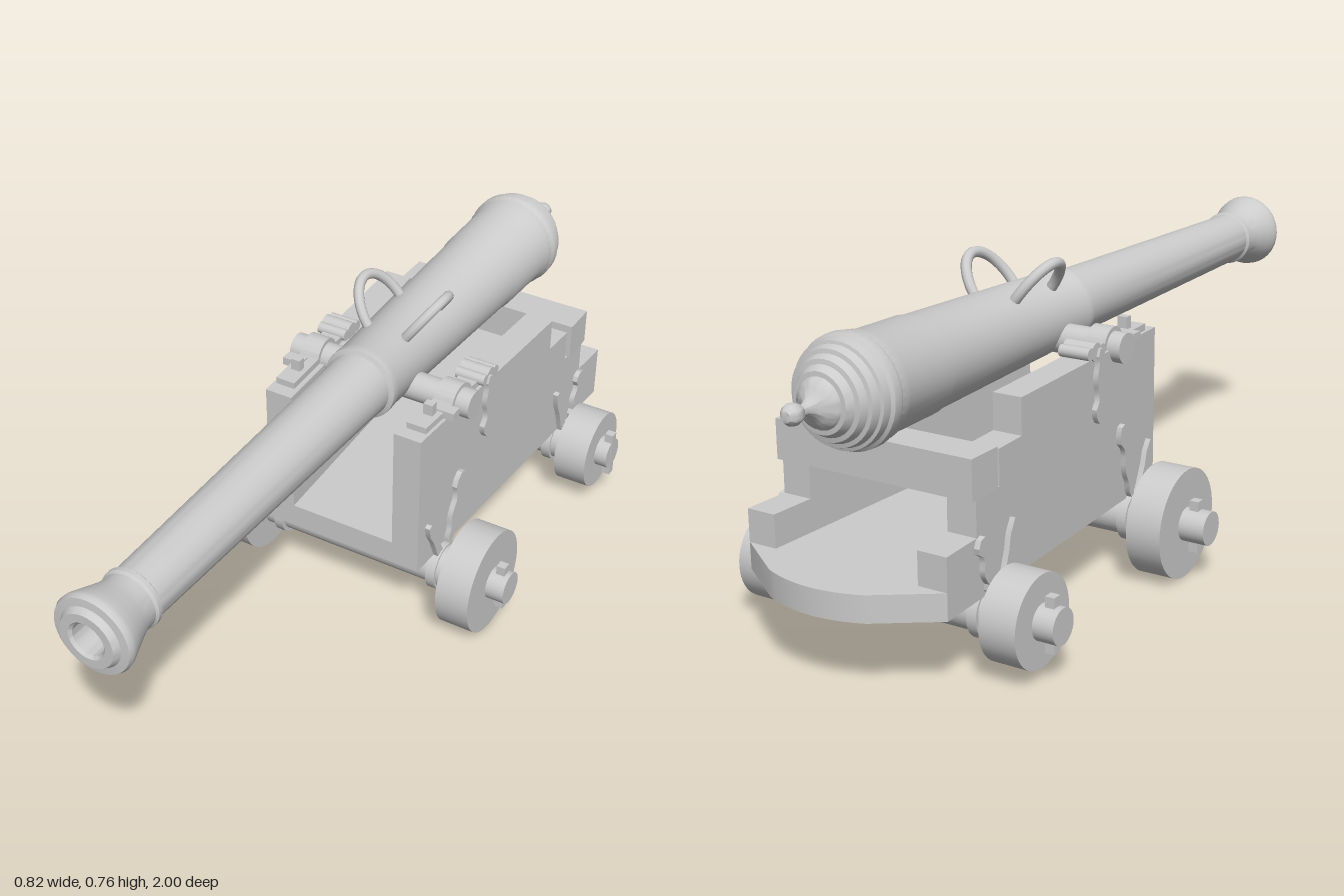
import * as THREE from 'three';
import { toCreasedNormals } from 'three/addons/utils/BufferGeometryUtils.js';

const material = new THREE.MeshStandardMaterial({ color: 0xcccccc });
const FRONT = 0.065, SPLAY = 0.048; // side planks spread apart towards the rear
const splayAt = (z) => (FRONT - z) * SPLAY;

export function createModel() {
  const model = new THREE.Group();
  model.name = 'cannon';
  model.position.x = 0.008;

  const add = (name, geometry, x = 0, y = 0, z = 0, parent = model) => {
    const mesh = new THREE.Mesh(geometry, material);
    mesh.name = name;
    mesh.position.set(x, y, z);
    parent.add(mesh);
    return mesh;
  };
  // Cylinder lying along x
  const rod = (name, r, length, x, y, z, parent = model, segments = 32) =>
    add(name, new THREE.CylinderGeometry(r, r, length, segments).rotateZ(Math.PI / 2), x, y, z, parent);
  const box = (name, w, h, d, x, y, z, parent = model) =>
    add(name, new THREE.BoxGeometry(w, h, d), x, y, z, parent);
  // Side outline given as (z, y), extruded across x and following the splay
  const sidePlate = (name, shape, side, x, width) => {
    const g = new THREE.ExtrudeGeometry(shape, { depth: width, bevelEnabled: false, curveSegments: 12 });
    g.translate(0, 0, -width / 2).rotateY(-Math.PI / 2);
    const p = g.attributes.position;
    for (let i = 0; i < p.count; i++) p.setX(i, p.getX(i) + side * (x + splayAt(p.getZ(i))));
    return add(name, toCreasedNormals(g, 0.6));
  };
  const polygon = (points) => new THREE.Shape(points.map(([a, b]) => new THREE.Vector2(a, b)));

  // Barrel with bore, as (radius, z) from the knob to the bottom of the bore
  const profile = [
    [0, -1], [0.012, -0.997], [0.021, -0.986], [0.023, -0.975], [0.019, -0.962], [0.012, -0.953],
    [0.012, -0.94], [0.02, -0.925], [0.036, -0.915], [0.05, -0.905], [0.054, -0.897], [0.064, -0.896],
    [0.074, -0.88], [0.084, -0.878], [0.091, -0.862], [0.1, -0.86], [0.105, -0.842], [0.112, -0.84],
    [0.114, -0.82], [0.121, -0.815], [0.122, -0.795], [0.116, -0.785], [0.117, -0.765], [0.112, -0.755],
    [0.109, -0.6], [0.106, -0.59], [0.097, -0.3], [0.089, -0.04], [0.091, -0.035], [0.091, -0.015],
    [0.08, -0.01], [0.078, 0.05], [0.064, 0.83], [0.064, 0.845], [0.07, 0.85], [0.07, 0.86],
    [0.065, 0.865], [0.067, 0.89], [0.074, 0.912], [0.084, 0.94], [0.092, 0.962], [0.094, 0.975],
    [0.09, 0.984], [0.072, 0.986], [0.064, 1], [0.044, 1], [0.038, 0.994], [0.038, 0.7], [0, 0.69],
  ].map(([r, z]) => new THREE.Vector2(r, z));
  const barrel = new THREE.LatheGeometry(profile, 40).rotateX(Math.PI / 2);
  add('barrel', toCreasedNormals(barrel, 0.6), 0, 0.594, 0);

  // Trunnions
  rod('trunnions', 0.035, 0.484, 0, 0.553, -0.128);

  for (const side of [-1, 1]) {
    // Lifting handle leaning outwards from the barrel
    const path = [];
    for (let i = 0; i <= 10; i++) {
      const a = (i / 10) * Math.PI;
      const lift = Math.sin(a);
      path.push(new THREE.Vector3(side * (0.046 + 0.06 * lift), 0.662 + 0.085 * lift, -0.215 + 0.078 * Math.cos(a)));
    }
    add('liftingHandle', new THREE.TubeGeometry(new THREE.CatmullRomCurve3(path), 28, 0.0125, 10));

    // Stepped side plank
    sidePlate('carriageSide', polygon([
      [FRONT, 0.175], [FRONT, 0.552], [-0.55, 0.552], [-0.55, 0.47], [-0.64, 0.47], [-0.64, 0.39],
      [-0.73, 0.39], [-0.73, 0.31], [-0.84, 0.31], [-0.84, 0.175],
    ]), side, 0.172, 0.07);

    // Cap plate arched over the trunnion
    const cap = new THREE.Shape();
    cap.moveTo(0.03, 0.548);
    cap.lineTo(0.03, 0.568);
    cap.lineTo(-0.085, 0.568);
    cap.absarc(-0.128, 0.553, 0.045, 0.34, Math.PI - 0.34, false);
    cap.lineTo(-0.25, 0.568);
    cap.lineTo(-0.25, 0.548);
    sidePlate('trunnionCap', cap, side, 0.174, 0.05);

    // Hinge, bolt and keeper on the cap
    for (const z of [-0.21, -0.235, -0.26])
      rod('capHinge', z === -0.235 ? 0.021 : 0.014, 0.075, side * 0.19, 0.568, z, model, 16);
    box('capBolt', 0.024, 0.045, 0.02, side * 0.178, 0.574, -0.028);
    box('capKeeper', 0.05, 0.02, 0.03, side * 0.205, 0.562, -0.06);

    // Iron straps: wavy ones bulge along their length, straight ones lean
    const strap = (z0, y0, z1, y1, widths) => {
      const dir = new THREE.Vector2(z1 - z0, y1 - y0);
      const n = new THREE.Vector2(-dir.y, dir.x).normalize();
      const edge = (s) => widths.map((w, i) => {
        const t = i / (widths.length - 1);
        return new THREE.Vector2(z0 + dir.x * t + s * n.x * w, y0 + dir.y * t + s * n.y * w);
      });
      sidePlate('strap', new THREE.Shape([...edge(-1), ...edge(1).reverse()]), side, 0.209, 0.022);
    };
    const wavy = [0.008, 0.02, 0.021, 0.009, 0.008, 0.014, 0.017, 0.013, 0.008, 0.012, 0.005];
    strap(-0.225, 0.405, -0.225, 0.575, wavy);
    strap(-0.065, 0.18, -0.115, 0.365, wavy.slice().reverse());
    strap(-0.02, 0.18, 0.03, 0.29, [0.012, 0.01, 0.009, 0.013, 0.006]);
    strap(-0.69, 0.18, -0.725, 0.31, wavy.slice().reverse());
    strap(-0.64, 0.18, -0.595, 0.31, [0.012, 0.01, 0.009, 0.013, 0.006]);
  }

  // Floor between the side planks, with a rounded tail behind them
  const w0 = 0.14, w1 = 0.14 + splayAt(-0.84), tail = 0.25;
  const floor = new THREE.Shape();
  floor.moveTo(-w0, -FRONT);
  floor.lineTo(w0, -FRONT);
  floor.lineTo(w1, 0.84);
  floor.lineTo(tail, 0.84);
  floor.lineTo(0.12, 0.93);
  floor.quadraticCurveTo(0, 0.982, -0.12, 0.93);
  floor.lineTo(-tail, 0.84);
  floor.lineTo(-w1, 0.84);
  const floorGeometry = new THREE.ExtrudeGeometry(floor, { depth: 0.06, bevelEnabled: false });
  add('floor', toCreasedNormals(floorGeometry.rotateX(-Math.PI / 2), 0.5), 0, 0.175, 0);

  // Cross beam under the breech
  box('breechBeam', 0.494, 0.09, 0.09, 0, 0.435, -0.7);

  // Axles with wheels, collars and linchpins
  const axle = (name, z, radius, length, collar) => {
    const g = new THREE.Group();
    g.name = name;
    g.position.set(0, 0.131, z);
    model.add(g);
    rod('axleShaft', 0.04, length, -0.008, 0, 0, g);
    rod('axleBody', 0.05, 2 * collar, 0, -0.005, 0, g);
    for (const s of [-1, 1]) {
      rod('axleCollar', 0.054, 0.045, s * (collar + 0.005), -0.003, 0, g);
      rod('axleBand', 0.061, 0.024, s * (collar - 0.014), -0.005, 0, g);
      rod('axleShoulder', 0.045, 0.05, s * 0.26, 0, 0, g);
      rod('wheel', radius, 0.086, s * 0.312, 0, 0, g, 48);
      box('linchpin', 0.022, 0.124, 0.022, s * 0.379, 0, 0, g);
    }
  };
  axle('frontAxle', -0.042, 0.13, 0.82, 0.23);
  axle('rearAxle', -0.662, 0.102, 0.792, 0.237);

  return model;
}
